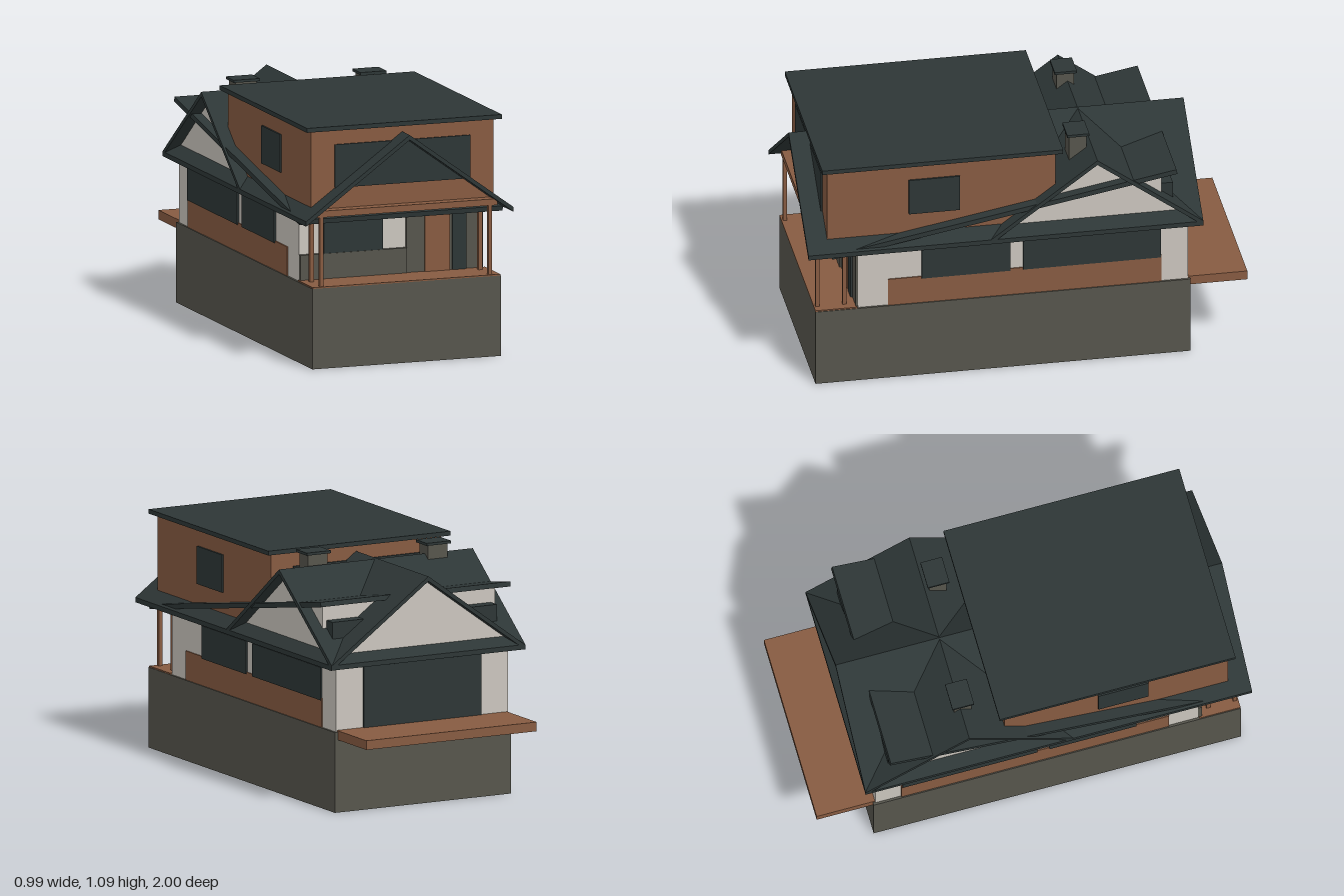
import * as THREE from 'three';

const mat = (name, color) => {
  const m = new THREE.MeshStandardMaterial({ color });
  m.name = name;
  return m;
};

export function createModel() {
  const house = new THREE.Group();
  house.name = 'house';
  const slate = mat('dark slate', 0x2d3636);
  const timber = mat('timber brown', 0x875b41);
  const stone = mat('stone grey', 0x56554c);
  const render = mat('off-white render', 0xcac5bd);

  const add = (name, geometry, material) => {
    const mesh = new THREE.Mesh(geometry, material);
    mesh.name = name;
    house.add(mesh);
    return mesh;
  };
  // Box given by its limits on each axis
  const box = (name, material, x0, x1, y0, y1, z0, z1) => {
    const g = new THREE.BoxGeometry(x1 - x0, y1 - y0, z1 - z0);
    g.translate((x0 + x1) / 2, (y0 + y1) / 2, (z0 + z1) / 2);
    return add(name, g, material);
  };
  const extrude = (points, depth) => new THREE.ExtrudeGeometry(
    new THREE.Shape(points.map(([a, b]) => new THREE.Vector2(a, b))),
    { depth, bevelEnabled: false });
  // Profile in x, y swept along z
  const alongZ = (name, material, points, z0, z1) =>
    add(name, extrude(points, z1 - z0).translate(0, 0, z0), material);
  // Profile in z, y swept along x
  const alongX = (name, material, points, x0, x1) =>
    add(name, extrude(points, x1 - x0).rotateY(-Math.PI / 2).translate(x1, 0, 0), material);
  // Thin chevron roof profile
  const chevron = (c, half, eave, peak, t) => [
    [c - half, eave], [c, peak], [c + half, eave],
    [c + half, eave - t], [c, peak - t], [c - half, eave - t]];

  // Plinth and decks
  box('plinth', stone, -0.45, 0.45, 0, 0.365, -0.74, 0.96);
  box('porchDeck', timber, -0.447, 0.447, 0.365, 0.371, 0.77, 0.96);
  box('rearDeck', timber, -0.435, 0.435, 0.33, 0.372, -1, -0.73);

  // Ground floor
  box('groundFloor', render, -0.44, 0.44, 0.365, 0.685, -0.73, 0.765);
  box('porchLowWall', stone, -0.44, 0.07, 0.371, 0.485, 0.765, 0.783);
  box('entranceWall', stone, 0.07, 0.435, 0.371, 0.66, 0.765, 0.775);
  box('frontDoor', timber, 0.155, 0.275, 0.371, 0.635, 0.775, 0.784);
  box('doorSidelight', slate, 0.287, 0.352, 0.371, 0.642, 0.775, 0.784);
  box('frontWindow', slate, -0.325, -0.043, 0.485, 0.645, 0.765, 0.78);
  box('rearWindow', slate, -0.3, 0.3, 0.372, 0.648, -0.738, -0.73);

  // Upper storey
  box('upperStorey', timber, -0.435, 0.435, 0.69, 1.07, -0.13, 0.905);
  box('flatRoof', slate, -0.465, 0.465, 1.07, 1.09, -0.16, 0.932);
  box('upperFrontWindow', slate, -0.323, 0.323, 0.807, 1.003, 0.905, 0.913);
  box('upperRearWindow', slate, -0.323, 0.323, 0.807, 1.003, -0.138, -0.13);

  // Parts repeated on both sides
  for (const s of [-1, 1]) {
    const side = (name, material, a, b, y0, y1, z0, z1) =>
      box(name, material, Math.min(s * a, s * b), Math.max(s * a, s * b), y0, y1, z0, z1);
    side('sideCladding', timber, 0.44, 0.445, 0.365, 0.497, -0.61, 0.63);
    side('sideWindow', slate, 0.44, 0.449, 0.488, 0.638, 0.075, 0.478);
    side('sideWindow', slate, 0.44, 0.449, 0.488, 0.638, -0.605, 0.018);
    side('sideWindowHead', slate, 0.44, 0.447, 0.638, 0.648, 0.075, 0.42);
    side('sideWindowHead', slate, 0.44, 0.447, 0.638, 0.648, -0.45, -0.07);
    side('upperSideWindow', slate, 0.435, 0.443, 0.818, 0.99, 0.303, 0.535);
    side('porchPost', timber, 0.393, 0.411, 0.371, 0.69, 0.935, 0.953);
    side('porchInnerPost', timber, 0.393, 0.411, 0.371, 0.66, 0.812, 0.83);
    side('dormerWindow', slate, 0.26, 0.42, 0.75, 0.85, -0.665, -0.61);
  }
  box('porchBeam', timber, -0.435, 0.435, 0.685, 0.714, 0.9, 0.955);

  // Main roof running front to back, with its rear gable wall
  alongZ('mainRoof', slate, chevron(0, 0.495, 0.68, 1.04, 0.022), -0.79, 1);
  alongZ('rearGableWall', render, [[-0.44, 0.68], [0.44, 0.68], [0.44, 0.7], [0, 1.02], [-0.44, 0.7]], -0.74, -0.72);

  // Cross roof running side to side, with its gable walls
  alongX('crossRoof', slate, chevron(-0.31, 0.48, 0.682, 1.036, 0.022), -0.495, 0.495);
  alongX('crossGableWalls', render, [[-0.72, 0.68], [0.1, 0.68], [0.1, 0.71], [-0.31, 1.015], [-0.72, 0.71]], -0.44, 0.44);

  // Dormer body under a long, gently sloping roof slab
  alongX('dormerWalls', render, [[-0.61, 0.69], [-0.15, 0.69], [-0.15, 0.835], [-0.61, 0.92]], -0.44, 0.44);
  alongX('dormerRoof', slate, [[-0.675, 0.927], [0.89, 0.645], [0.894, 0.667], [-0.67, 0.949]], -0.485, 0.485);

  // Chimneys
  for (const [x, z, top] of [[-0.3, -0.3, 1.09], [0.285, -0.25, 1.094]]) {
    box('chimney', stone, x - 0.05, x + 0.05, 0.75, top - 0.012, z - 0.04, z + 0.04);
    box('chimneyCap', slate, x - 0.062, x + 0.062, top - 0.012, top, z - 0.05, z + 0.05);
  }
  return house;
}
